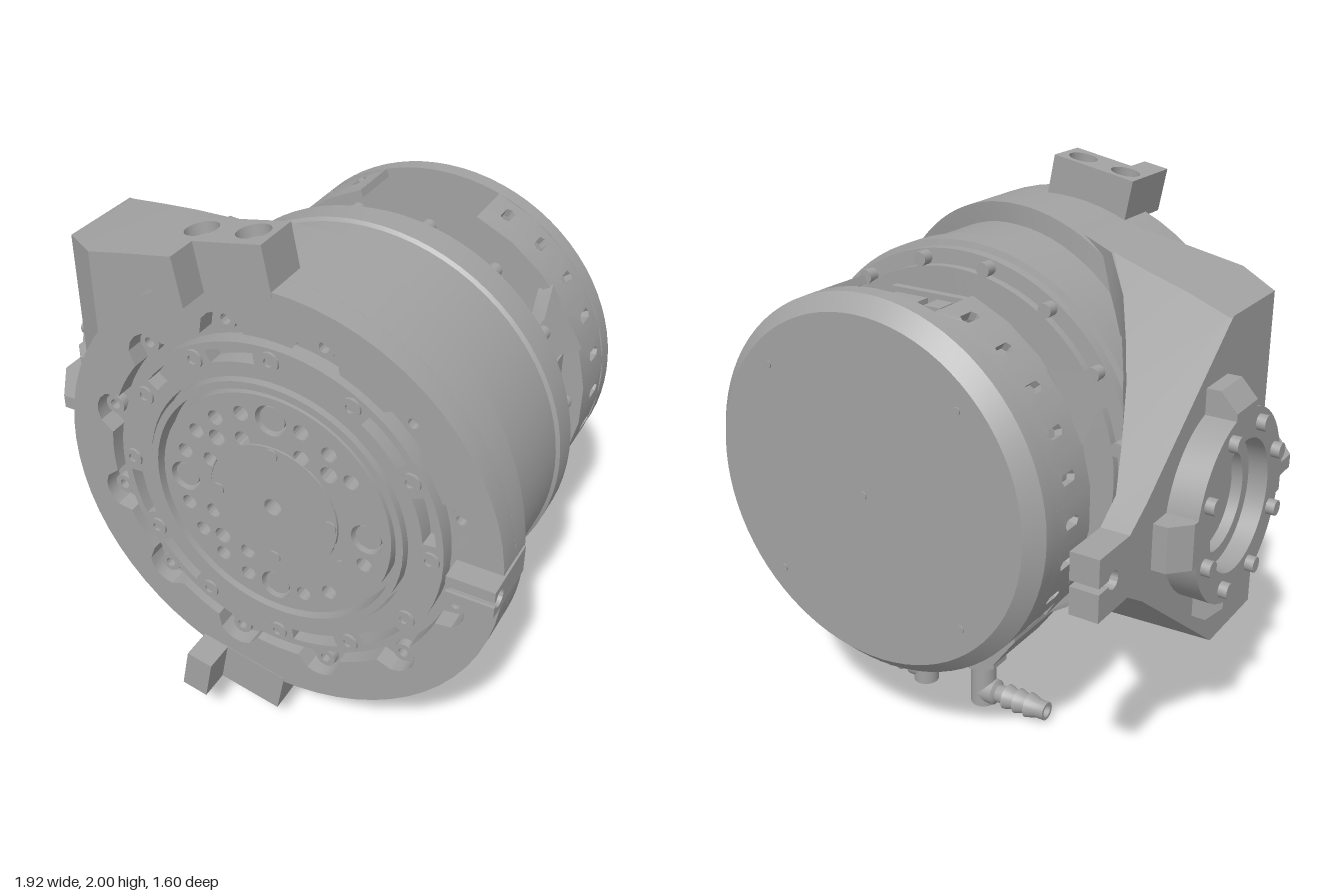
import * as THREE from 'three';
import { mergeGeometries, toCreasedNormals } from 'three/addons/utils/BufferGeometryUtils.js';

const CX = 0.155, CY = 1.055, TAU = Math.PI * 2;
const metal = new THREE.MeshStandardMaterial({ color: 0xa2a2a2 });
metal.name = 'machined grey';

const polar = (r, deg) => [r * Math.cos(deg * TAU / 360), r * Math.sin(deg * TAU / 360)];
const poly = pts => new THREE.Shape(pts.map(p => new THREE.Vector2(...p)));
const circle = (r, x = 0, y = 0) => new THREE.Path().absarc(x, y, r, 0, TAU);
const disc = (r, ...holes) => {
  const s = new THREE.Shape().absarc(0, 0, r, 0, TAU);
  s.holes.push(...holes);
  return s;
};
const extrude = (shape, z0, z1) => new THREE.ExtrudeGeometry(shape,
  { depth: z1 - z0, bevelEnabled: false, curveSegments: 32 }).translate(0, 0, z0);
// cylinder along z
const rod = (r, z0, z1, x = 0, y = 0, n = 16) => new THREE.CylinderGeometry(r, r, z1 - z0, n)
  .rotateX(Math.PI / 2).translate(x, y, (z0 + z1) / 2);
// turned part along z; profile is [radius, z] from back to front
const turned = pts => new THREE.LatheGeometry(pts.map(p => new THREE.Vector2(...p)), 80).rotateX(Math.PI / 2);
const box = (x0, x1, y0, y1, z0, z1) => new THREE.BoxGeometry(x1 - x0, y1 - y0, z1 - z0)
  .translate((x0 + x1) / 2, (y0 + y1) / 2, (z0 + z1) / 2);
const merge = list => mergeGeometries(list.map(g => {
  const n = g.index ? g.toNonIndexed() : g;
  n.clearGroups();
  return n;
}));

// solid through matching closed cross-sections, turned outward by its signed volume
function loft(sections, closed) {
  const tris = [], n = sections[0].length, m = sections.length;
  for (let i = 0; i < (closed ? m : m - 1); i++) for (let j = 0; j < n; j++) {
    const a = sections[i], b = sections[(i + 1) % m], k = (j + 1) % n;
    tris.push([a[j], b[j], b[k]], [a[j], b[k], a[k]]);
  }
  if (!closed) for (let j = 1; j < n - 1; j++) {
    const a = sections[0], b = sections[m - 1];
    tris.push([a[0], a[j], a[j + 1]], [b[0], b[j + 1], b[j]]);
  }
  const v = p => new THREE.Vector3(...p);
  const volume = tris.reduce((s, [a, b, c]) => s + v(a).dot(v(b).cross(v(c))), 0);
  if (volume < 0) tris.forEach(t => t.reverse());
  const g = new THREE.BufferGeometry();
  g.setAttribute('position', new THREE.Float32BufferAttribute(tris.flat(2), 3));
  g.computeVertexNormals();
  return g;
}

// clamp tab with a round eye and a slit, pointing along +z or -z
function clampTab(z0, z1, eye, h, width, dir) {
  const s = new THREE.Shape(), r = 0.03, a = 0.35;
  s.moveTo(z0, -h); s.lineTo(z1, -h); s.lineTo(z1, -r * Math.sin(a));
  s.absarc(eye, 0, r, -a, a, true);
  s.lineTo(z1, r * Math.sin(a)); s.lineTo(z1, h); s.lineTo(z0, h);
  return extrude(s, -width / 2, width / 2).rotateY(-dir * Math.PI / 2);
}

export function createModel() {
  const model = new THREE.Group();
  const core = new THREE.Group();
  core.name = 'driveUnit';
  core.position.set(CX, CY, 0);
  model.add(core);
  const add = (name, g, parent = model) => {
    const m = new THREE.Mesh(toCreasedNormals(g, 0.5), metal);
    m.name = name;
    parent.add(m);
    return m;
  };

  // drum, flange steps and rear motor body
  add('drum', turned([[0, -0.3], [0.46, -0.3], [0.5, -0.285], [0.5, -0.14], [0.66, -0.14], [0.66, -0.108],
    [0.715, -0.105], [0.715, -0.065], [0.737, -0.06], [0.737, 0.04], [0.725, 0.05], [0.725, 0.62], [0, 0.62]]), core);
  const rearBolts = [];
  for (let i = 0; i < 16; i++) {
    rearBolts.push(rod(0.026, -0.15, -0.1, ...polar(0.685, 11.25 + 22.5 * i)));
    rearBolts.push(rod(0.02, -0.312, -0.29, ...polar(0.43, 22.5 * i)));
  }
  add('rearBolts', merge(rearBolts), core);

  // front ring with scalloped opening and slanted rear edge
  const scallop = [];
  for (let i = 0; i < 144; i++) {
    const bump = Math.max(0, Math.cos((i * 2.5 - 15) * 12 * TAU / 360));
    scallop.push(new THREE.Vector2(...polar(0.635 + 0.07 * Math.sqrt(bump), i * 2.5)));
  }
  add('frontRing', extrude(disc(0.8, new THREE.Path(scallop)), 0.6, 0.688), core);
  const skirt = [];
  for (let i = 0; i < 96; i++) {
    const a = i * 3.75, [x, y] = polar(0.8, a), [u, v] = polar(0.72, a);
    const zb = x > 0 ? 0.28 + x * 0.3 : Math.max(0.17, 0.28 + x * 0.22);
    skirt.push([[x, y, 0.6], [x, y, zb], [u, v, zb], [u, v, 0.6]]);
  }
  add('ringSkirt', loft(skirt, true), core);

  // mounting screws in the scallops
  const screws = [];
  for (let i = 0; i < 12; i++) {
    const p = polar(0.66, 15 + 30 * i);
    screws.push(extrude(disc(0.036, circle(0.018)), 0.6, 0.65).translate(...p, 0));
  }
  add('ringScrews', merge(screws), core);

  // bearing plate with arc slots and bolts
  const slots = [];
  for (const a of [30, 120, 210, 300]) for (const o of [6, -24]) {
    const s = new THREE.Path(), [b, e] = [a + o, a + o + 18].map(d => d * TAU / 360);
    s.absarc(0, 0, 0.575, b, e, false);
    s.absarc(0, 0, 0.53, e, b, true);
    slots.push(s);
  }
  add('bearingPlate', extrude(disc(0.6, circle(0.48), ...slots), 0.6, 0.68), core);
  const plateBolts = [];
  for (let i = 0; i < 12; i++)
    plateBolts.push(extrude(disc(0.034, circle(0.016)), 0.66, 0.69).translate(...polar(0.555, 30 * i), 0));
  add('plateBolts', merge(plateBolts), core);
  add('sealRing', extrude(disc(0.47, circle(0.445)), 0.6, 0.695), core);

  // output flange with its hole pattern
  const holes = [];
  for (let i = 0; i < 20; i++) if (i % 5) holes.push(circle(0.027, ...polar(0.35, 18 * i)));
  for (let i = 0; i < 4; i++) {
    for (const o of [-24.5, 24.5]) holes.push(circle(0.027, ...polar(0.258, 90 * i + o)));
    holes.push(circle(0.03, ...polar(0.29, 90 * i + 45)), circle(0.056, ...polar(0.34, 90 * i)));
  }
  add('outputFlange', extrude(disc(0.425, circle(0.24), ...holes), 0.6, 0.686), core);
  add('hub', extrude(disc(0.237, circle(0.032)), 0.6, 0.69), core);
  const hubScrews = [];
  for (let i = 0; i < 4; i++) {
    hubScrews.push(rod(0.045, 0.6, 0.675, ...polar(0.34, 90 * i)));
    hubScrews.push(rod(0.024, 0.68, 0.696, ...polar(0.21, 90 * i)));
  }
  add('hubScrews', merge(hubScrews), core);

  // rear cover: cap, slotted wall panels and support arms
  add('coverCap', turned([[0, -0.67], [0.63, -0.67], [0.685, -0.615], [0.685, -0.55], [0, -0.55]]), core);
  const capScrews = [rod(0.014, -0.675, -0.66)];
  for (let i = 0; i < 4; i++) capScrews.push(rod(0.014, -0.675, -0.66, ...polar(0.55, 45 + 90 * i)));
  add('capScrews', merge(capScrews), core);
  const R = 0.685, pitch = TAU / 28, panels = [];
  for (let i = 0; i < 28; i++) {
    if (Math.abs(i % 14 - 7) < 2) continue; // openings at top and bottom
    const w = R * pitch / 2;
    const s = poly([[-w, -0.55], [w, -0.55], [w, -0.34], [-w, -0.34]]);
    s.holes.push(poly([[-0.018, -0.49], [0, -0.5], [0.018, -0.49], [0.018, -0.43], [0, -0.42], [-0.018, -0.43]]));
    const g = extrude(s, -0.03, 0), p = g.attributes.position;
    for (let k = 0; k < p.count; k++) {
      const a = i * pitch + p.getX(k) / R, r = R + p.getZ(k);
      p.setXYZ(k, r * Math.cos(a), r * Math.sin(a), p.getY(k));
    }
    panels.push(g);
  }
  add('coverWall', merge(panels), core);
  const arms = [];
  for (const a of [30, 150, 210, 330]) {
    const sections = [[-0.1, 0.07], [-0.2, 0.07], [-0.35, 0.13]].map(([z, w]) =>
      [[0.62, -w], [0.68, -w], [0.68, w], [0.62, w]].map(([r, t]) => [r, t, z]));
    arms.push(loft(sections, false).rotateZ(a * TAU / 360));
  }
  add('coverArms', merge(arms), core);

  // connectors on top and side of the motor body
  const plugs = [];
  for (const x of [0.04, 0.13, 0.24])
    plugs.push(box(x, x + (x > 0.2 ? 0.14 : 0.07), 1.4, 1.6, -0.25, -0.16));
  plugs.push(box(0.08, 0.4, 1.4, 1.62, -0.17, -0.14), box(0.6, 0.76, 1.04, 1.28, -0.3, -0.13));
  add('connectors', merge(plugs));

  // coolant manifold and the two hose fittings
  add('manifold', extrude(poly([[-0.1, 0.26], [0.41, 0.26], [0.5, 0.4], [0.5, 0.75], [-0.2, 0.75], [-0.2, 0.4]]), -0.29, 0.04));
  const barb = [[0, 0], [0.05, 0], [0.05, 0.06], [0.034, 0.07]];
  for (const y of [0.11, 0.16, 0.21]) barb.push([0.036, y], [0.05, y], [0.036, y + 0.045]);
  barb.push([0.036, 0.29], [0.024, 0.29], [0.024, 0.2]);
  for (const s of [-1, 1]) {
    const x = 0.16 + s * 0.14;
    const fitting = [
      new THREE.CylinderGeometry(0.09, 0.09, 0.06, 6).translate(x, 0.22, -0.17),
      new THREE.CylinderGeometry(0.065, 0.065, 0.05, 16).translate(x, 0.25, -0.17),
      new THREE.CylinderGeometry(0.05, 0.05, 0.2, 20).translate(x, 0.1, -0.17),
      new THREE.LatheGeometry(barb.map(p => new THREE.Vector2(...p)), 20)
        .rotateZ(-s * Math.PI / 2).translate(x, 0.055, -0.17)];
    add(s > 0 ? 'leftHoseFitting' : 'rightHoseFitting', merge(fitting));
  }

  // side arm: [outer x, z, inner x, z] stations, tapering in height behind a slanted break line
  const stations = [[-0.1, 0.5, -0.1, 0.26], [-0.4, 0.5, -0.3, 0.17], [-0.65, 0.5, -0.42, 0.04], [-0.82, 0.38, -0.51, -0.1],
    [-0.82, 0.04, -0.58, -0.22], [-0.82, -0.3, -0.66, -0.39], [-0.82, -0.52, -0.715, -0.52], [-0.82, -0.62, -0.72, -0.62]];
  const past = (x, z) => 0.04 + 0.25 * (x + 0.82) - z;
  const half = (x, z) => Math.max(0.105, 0.605 + 0.2 * (x + 0.82) - 0.78 * Math.max(0, past(x, z)));
  add('sideArm', loft(stations.map(([ox, oz, ix, iz]) => {
    const a = past(ox, oz), b = past(ix, iz);
    const t = THREE.MathUtils.clamp(a / (a - b), 0.03, 0.97);
    const row = [[ox, oz], [ox + (ix - ox) * t, oz + (iz - oz) * t], [ix, iz]];
    return [...row.map(([x, z]) => [x, CY + half(x, z), z]),
      ...row.reverse().map(([x, z]) => [x, CY - half(x, z), z])];
  }), false));
  add('rearClampTab', clampTab(0.58, 0.8, 0.715, 0.105, 0.1, -1).translate(-0.77, CY, 0));
  add('frontClampTab', clampTab(0.53, 0.77, 0.73, 0.05, 0.16, 1).translate(0.88, CY, 0));
  add('sideRib', extrude(poly([[-0.93, -0.38], [-0.82, -0.53], [-0.6, -0.53], [-0.6, -0.4], [-0.82, -0.2], [-0.93, -0.2]]),
    -0.025, 0.025).rotateX(-Math.PI / 2).scale(1, 1, 1).translate(0, CY, 0));

  // side flange: ring, four chamfered lugs and eight bolts
  const side = new THREE.Group();
  side.name = 'sideFlange';
  side.position.set(-0.82, CY, -0.055);
  side.rotation.y = -Math.PI / 2;
  model.add(side);
  add('flangeRing', extrude(disc(0.335, circle(0.23)), -0.02, 0.11), side);
  add('flangeStep', extrude(disc(0.24, circle(0.18)), -0.02, 0.04), side);
  const lugs = [], bolts = [];
  for (let i = 0; i < 4; i++)
    lugs.push(extrude(poly([[0.3, 0], [0.415, 0], [0.415, 0.05], [0.35, 0.11], [0.3, 0.11]]), -0.08, 0.08)
      .rotateX(Math.PI / 2).rotateZ(i * Math.PI / 2));
  for (let i = 0; i < 8; i++) bolts.push(rod(0.028, 0.1, 0.142, ...polar(0.283, 22.5 + 45 * i)));
  add('flangeLugs', merge(lugs), side);
  add('flangeBolts', merge(bolts), side);

  // drilled mounting lugs at top and bottom of the ring
  for (const s of [1, -1]) {
    const shape = poly([[-0.17, 0.52], [0.17, 0.52], [0.17, 0.69], [-0.07, 0.69], [-0.07, 0.8], [-0.17, 0.8]]
      .map(([t, z]) => [t, -s * z]));
    for (const t of [-0.095, 0.09]) shape.holes.push(circle(0.055, t, -s * 0.6));
    const parts = [extrude(shape, 0.765, 0.93)];
    for (const t of [-0.095, 0.09]) parts.push(rod(0.035, 0.765, 0.9, t, -s * 0.6));
    const g = merge(parts);
    g.applyMatrix4(new THREE.Matrix4().makeBasis(new THREE.Vector3(0.982, 0.19 * s, 0),
      new THREE.Vector3(0, 0, -s), new THREE.Vector3(-0.19, 0.982 * s, 0)));
    add(s > 0 ? 'topLug' : 'bottomLug', g, core);
  }
  return model;
}
